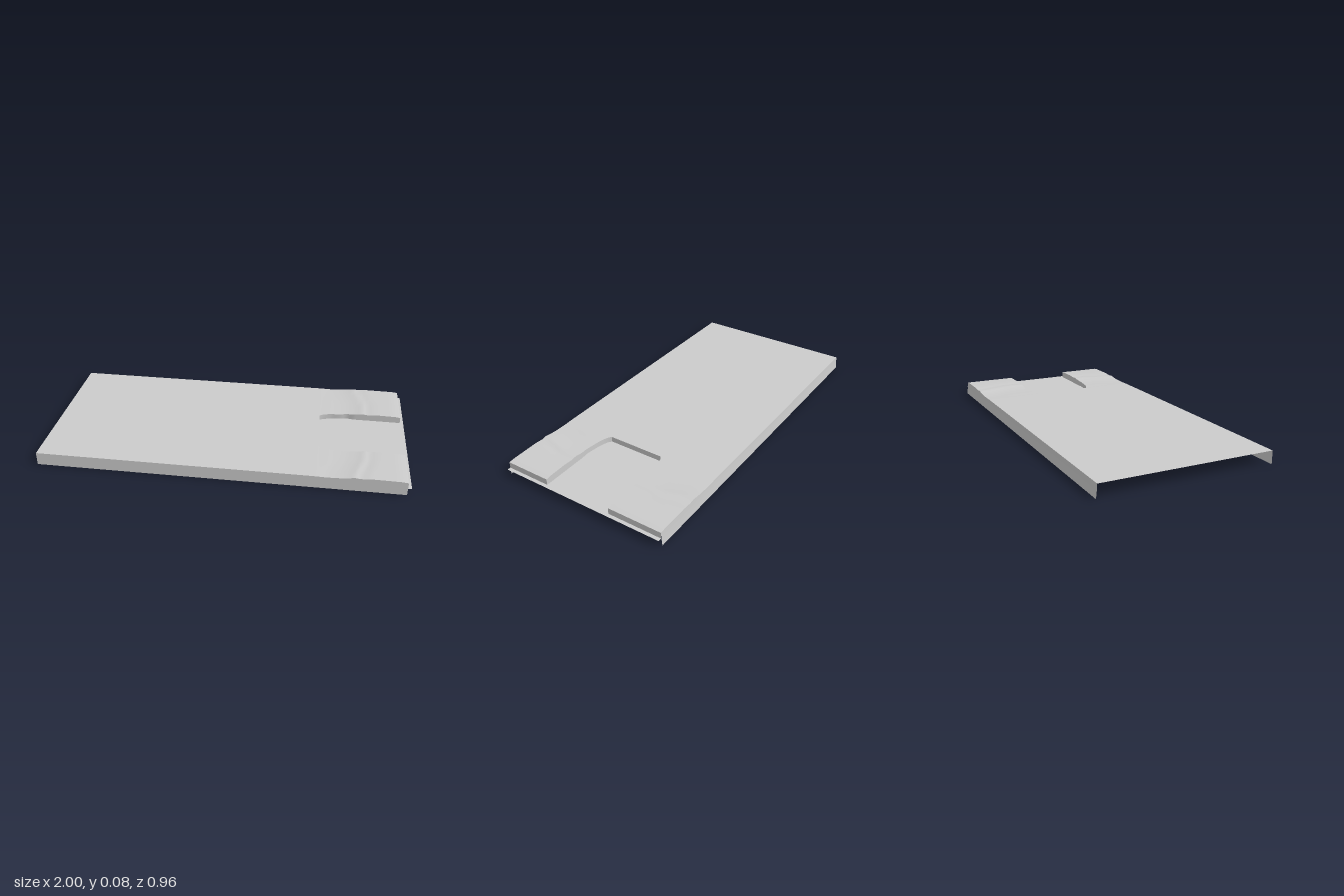
import * as THREE from 'three';

const material = new THREE.MeshStandardMaterial({ color: 0xcccccc, side: THREE.DoubleSide });
const { lerp, clamp } = THREE.MathUtils;

const BACK = -0.477, FRONT = 0.48, END = 0.98, FLOOR = 0.04;

// Piecewise linear curve through [position, value] pairs
function curve(pairs, t) {
  for (let i = 1; i < pairs.length; i++) {
    const [a, va] = pairs[i - 1], [b, vb] = pairs[i];
    if (t <= b) return lerp(va, vb, clamp((t - a) / (b - a), 0, 1));
  }
  return pairs[pairs.length - 1][1];
}

// Gentle swelling of the sheet towards the notched end
const swell = [[-1, 0.072], [0.5, 0.071], [0.56, 0.069], [0.62, 0.07], [0.67, 0.074], [0.71, 0.08],
  [0.74, 0.076], [0.79, 0.08], [0.88, 0.079], [0.95, 0.078], [0.98, 0.074]];
function height(x, z) {
  // the crease runs slantwise, fading out near the end edge
  const shift = 0.05 * clamp((0.45 - Math.abs(z)) / 0.15, 0, 1) * clamp((0.95 - x) / 0.15, 0, 1);
  return curve(swell, x > 0.55 ? x - shift : x);
}

// Long edges of the notch, as z for each x
const notchBack = [[0.51, -0.14], [0.53, -0.153], [0.58, -0.167], [0.63, -0.17], [0.67, -0.18], [0.71, -0.172], [0.98, -0.17]];
const notchFront = [[0.51, 0.185], [0.53, 0.2], [0.58, 0.215], [0.63, 0.222], [0.67, 0.226], [0.71, 0.223], [0.98, 0.222]];

// Surface through rows of points, all rows the same length
function loft(name, rows) {
  const n = rows[0].length, index = [];
  for (let i = 0; i < rows.length - 1; i++) {
    for (let j = 0; j < n - 1; j++) {
      const a = i * n + j, b = a + n;
      index.push(a, a + 1, b, b, a + 1, b + 1);
    }
  }
  const geometry = new THREE.BufferGeometry();
  geometry.setAttribute('position', new THREE.Float32BufferAttribute(rows.flat(2), 3));
  geometry.setIndex(index);
  geometry.computeVertexNormals();
  const mesh = new THREE.Mesh(geometry, material);
  mesh.name = name;
  return mesh;
}

const steps = (a, b, n) => Array.from({ length: n + 1 }, (_, i) => lerp(a, b, i / n));
const bodyX = steps(-1, 0.51, 8);
const armX = [0.51, 0.53, 0.56, 0.58, 0.6, 0.63, 0.65, 0.67, 0.69, 0.71, 0.725, 0.74, 0.76, 0.775, 0.79, 0.81, 0.84, 0.88, 0.92, 0.95, 0.98];
const allX = [...bodyX, ...armX.slice(1)];
const top = (x, z) => [x, height(x, z), z];

export function createModel() {
  const model = new THREE.Group();
  model.name = 'notchedCover';

  // Main sheet and the two arms beside the notch
  const sheet = (name, xs, from, to) =>
    loft(name, xs.map(x => steps(from(x), to(x), 8).map(z => top(x, z))));
  const back = () => BACK, front = () => FRONT;
  const edgeBack = x => curve(notchBack, x), edgeFront = x => curve(notchFront, x);
  model.add(sheet('mainSheet', bodyX, back, front));
  model.add(sheet('backArm', armX, back, edgeBack));
  model.add(sheet('frontArm', armX, edgeFront, front));

  // Side flanges, the back one leaning slightly outwards
  const flange = (name, z, foot) =>
    loft(name, allX.map(x => [top(x, z), [x, FLOOR, lerp(z, foot, 0.3)], [x, 0, foot]]));
  model.add(flange('frontFlange', FRONT, FRONT));
  model.add(flange('backFlange', BACK, -0.483));

  // Walls dropping from the sheet to the recessed floor
  const wall = (name, points) =>
    loft(name, points.map(([x, z]) => [top(x, z), [x, FLOOR, z]]));
  model.add(wall('notchBackWall', armX.map(x => [x, edgeBack(x)])));
  model.add(wall('notchFrontWall', armX.map(x => [x, edgeFront(x)])));
  model.add(wall('notchInnerWall', [[0.51, -0.14], [0.51, 0.185]]));
  model.add(wall('backArmEnd', steps(BACK, -0.17, 8).map(z => [END, z])));
  model.add(wall('frontArmEnd', steps(0.222, FRONT, 8).map(z => [END, z])));

  // Recessed floor and the narrow lip across the end
  model.add(loft('notchFloor', armX.map(x => [[x, FLOOR, edgeBack(x)], [x, FLOOR, edgeFront(x)]])));
  model.add(loft('endLip', [END, 1].map(x => [[x, FLOOR, BACK], [x, FLOOR, FRONT]])));

  return model;
}
